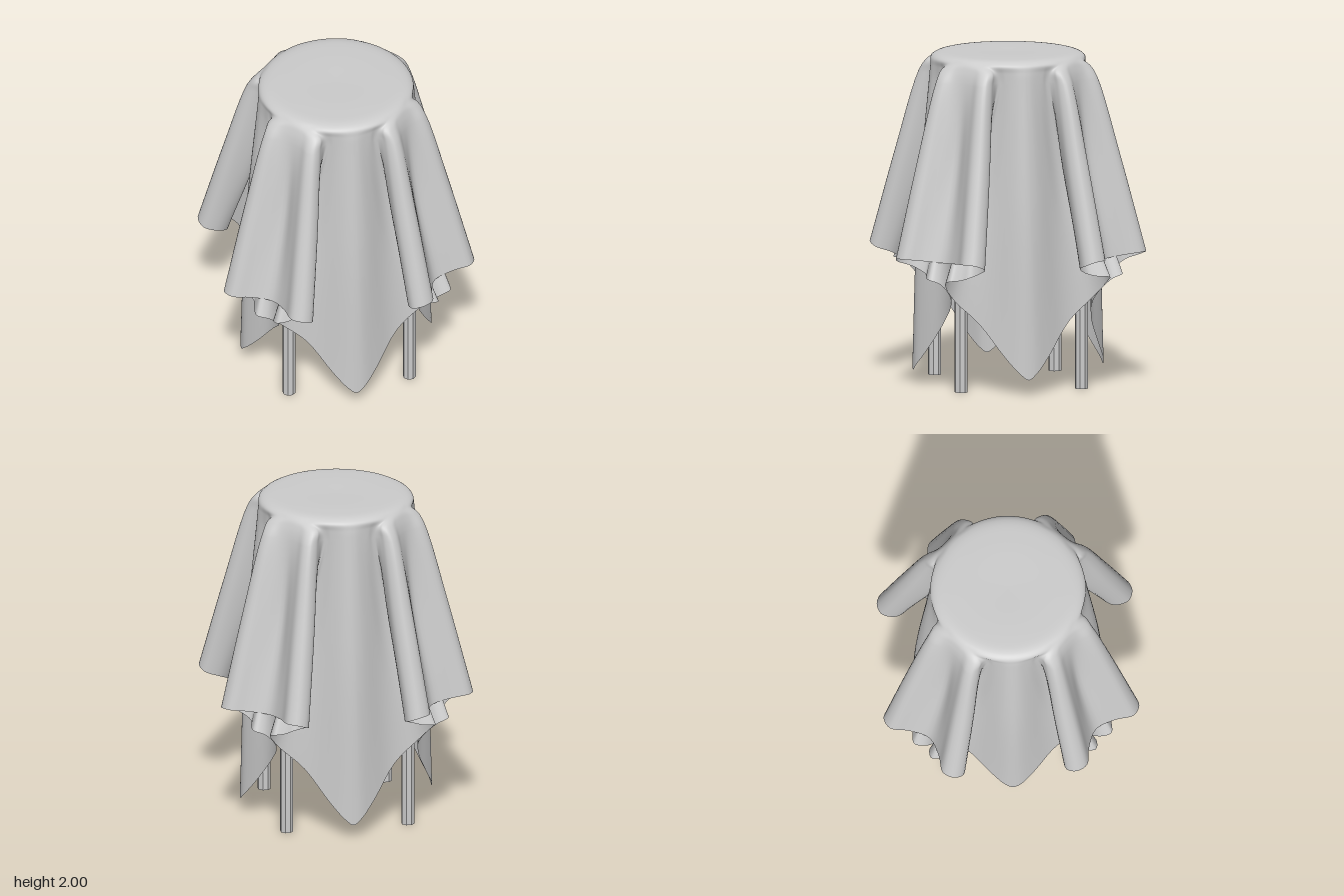
import * as THREE from 'three';

// One eighth of the cloth, from the middle of a side to a corner.
// Each row: hem x, y, z, then x, z at mid height, then x, z at the shoulder.
// The last number is the distance along the hem, which fixes the angle at the rim.
const FOLDS = [
  [0.00, 0.80, 0.705, 0.00, 0.565, 0.00, 0.50, 0.00],
  [0.12, 0.81, 0.755, 0.09, 0.62, 0.07, 0.51, 0.10],
  [0.21, 0.82, 0.82, 0.17, 0.67, 0.13, 0.535, 0.18],
  [0.28, 0.815, 0.80, 0.23, 0.65, 0.175, 0.525, 0.23],
  [0.305, 0.79, 0.74, 0.245, 0.59, 0.19, 0.485, 0.27],
  [0.25, 0.76, 0.67, 0.205, 0.53, 0.185, 0.45, 0.31],
  [0.16, 0.72, 0.665, 0.14, 0.48, 0.185, 0.43, 0.36],
  [0.12, 0.705, 0.72, 0.10, 0.49, 0.19, 0.415, 0.42],
  [0.07, 0.70, 0.765, 0.09, 0.50, 0.20, 0.405, 0.47],
  [0.015, 0.67, 0.72, 0.09, 0.47, 0.21, 0.40, 0.51],
  [0.012, 0.56, 0.61, 0.12, 0.44, 0.23, 0.395, 0.58],
  [0.12, 0.42, 0.51, 0.21, 0.435, 0.265, 0.38, 0.68],
  [0.28, 0.22, 0.467, 0.315, 0.425, 0.31, 0.36, 0.84],
  [0.37, 0.125, 0.44, 0.37, 0.405, 0.33, 0.345, 0.95],
  [0.41, 0.09, 0.41, 0.39, 0.39, 0.338, 0.338, 1.00],
];
const RIM = 0.46;

// Mirrors an eighth about the diagonal, then turns it four times into a closed ring
function ringCurve(pointOf) {
  const eighth = FOLDS.map((f) => new THREE.Vector3(...pointOf(f)));
  const mirrored = eighth.slice(1, -1).reverse().map((p) => new THREE.Vector3(p.z, p.y, p.x));
  let quarter = [...eighth, ...mirrored];
  const ring = [];
  for (let i = 0; i < 4; i++) {
    ring.push(...quarter);
    quarter = quarter.map((p) => new THREE.Vector3(p.z, p.y, -p.x));
  }
  return new THREE.CatmullRomCurve3(ring, true);
}

function circleAt(radius, y) {
  return ringCurve((f) => {
    const a = Math.atan(f[7]);
    return [radius * Math.sin(a), y, radius * Math.cos(a)];
  });
}

function clothGeometry() {
  const rings = [
    circleAt(0.30, 1.998),
    circleAt(0.425, 1.988),
    circleAt(RIM, 1.965),
    // Folds start just under the rim, halfway out to the shoulder
    ringCurve((f) => {
      const s = (1 + RIM / Math.hypot(f[5], f[6])) / 2;
      return [f[5] * s, 1.925, f[6] * s];
    }),
    ringCurve((f) => [f[5], 1.85, f[6]]),
    ringCurve((f) => [f[3], (1.95 + f[1]) / 2, f[4]]),
    ringCurve((f) => [f[0], f[1], f[2]]),
  ];
  const columns = (FOLDS.length - 1) * 8 * 4;
  const rows = 42;
  const positions = [];
  const indices = [];
  for (let c = 0; c < columns; c++) {
    // A thread running from the centre of the top down to the hem
    const thread = new THREE.CatmullRomCurve3([
      new THREE.Vector3(0, 1.995, 0),
      ...rings.map((ring) => ring.getPoint(c / columns)),
    ]);
    for (let r = 0; r <= rows; r++) {
      positions.push(...thread.getPoint(r / rows).toArray());
    }
    const next = (c + 1) % columns;
    for (let r = 0; r < rows; r++) {
      const a = c * (rows + 1) + r;
      const b = next * (rows + 1) + r;
      if (r > 0) indices.push(a, a + 1, b);
      indices.push(b, a + 1, b + 1);
    }
  }
  const geometry = new THREE.BufferGeometry();
  geometry.setAttribute('position', new THREE.Float32BufferAttribute(positions, 3));
  geometry.setIndex(indices);
  geometry.computeVertexNormals();
  return geometry;
}

export function createModel() {
  const model = new THREE.Group();
  model.name = 'drapedTable';
  const fabric = new THREE.MeshStandardMaterial({ color: 0xcccccc, side: THREE.DoubleSide });
  const solid = new THREE.MeshStandardMaterial({ color: 0xcccccc, flatShading: true });

  // Square cloth falling in folds from the round top
  const cloth = new THREE.Mesh(clothGeometry(), fabric);
  cloth.name = 'tablecloth';
  model.add(cloth);

  // Table top under the cloth
  const top = new THREE.Mesh(new THREE.CylinderGeometry(0.43, 0.43, 0.05, 32), solid);
  top.name = 'tableTop';
  top.position.y = 1.94;
  model.add(top);

  // Four octagonal legs, upright below and leaning in to the top under the cloth
  const legHeight = 1.92;
  const legGeometry = new THREE.CylinderGeometry(0.04, 0.04, legHeight, 8, 2);
  legGeometry.rotateY(Math.PI / 8);
  legGeometry.translate(0, legHeight / 2, 0.52);
  const p = legGeometry.attributes.position;
  for (let i = 0; i < p.count; i++) {
    p.setZ(i, p.getZ(i) - 0.08 * Math.max(0, p.getY(i) / legHeight * 2 - 1));
  }
  ['frontLeg', 'leftLeg', 'backLeg', 'rightLeg'].forEach((name, i) => {
    const leg = new THREE.Mesh(legGeometry, solid);
    leg.name = name;
    leg.rotation.y = (i * Math.PI) / 2;
    model.add(leg);
  });
  return model;
}
